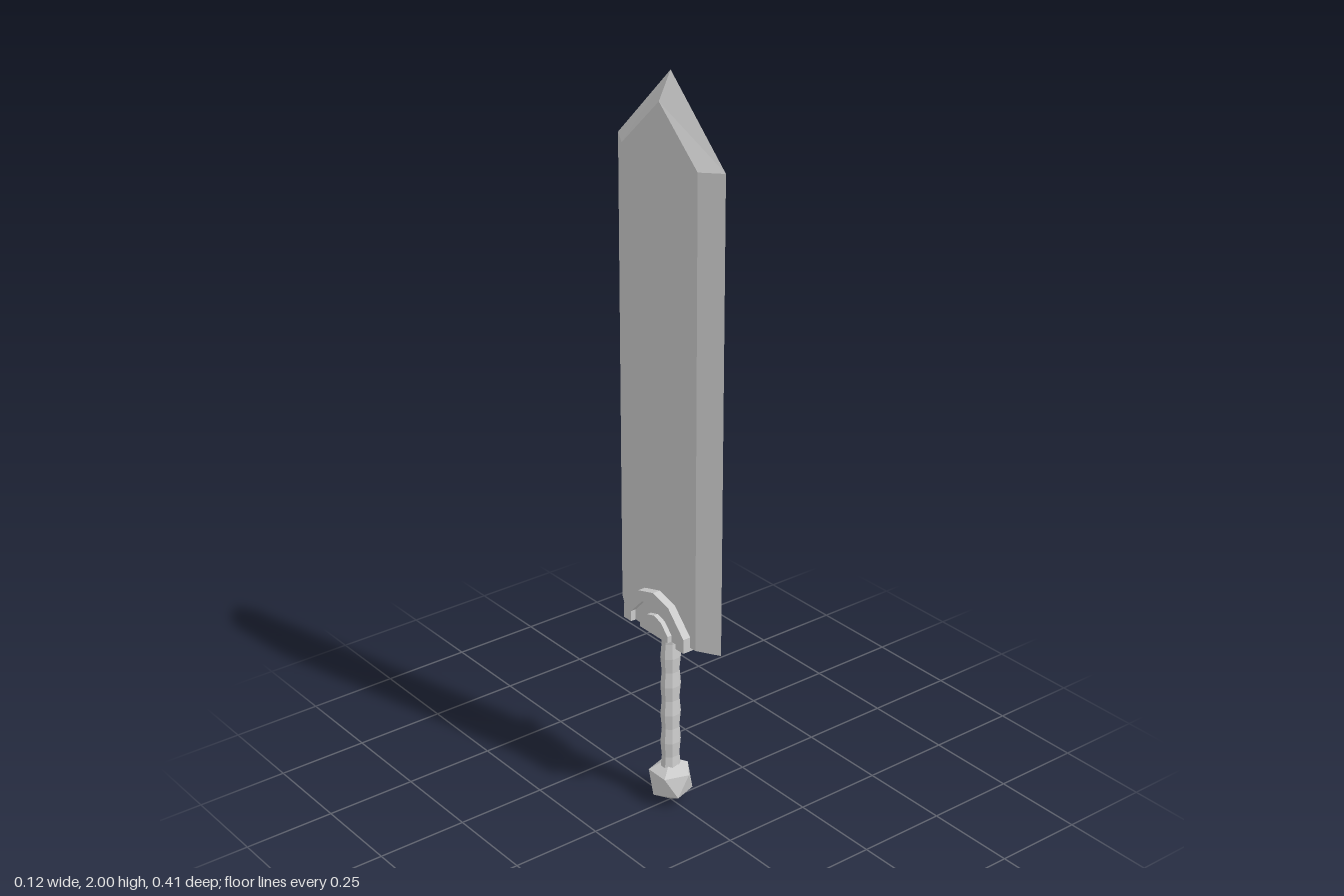
import * as THREE from 'three';

const material = new THREE.MeshStandardMaterial({ color: 0xcccccc, flatShading: true });

function addMesh(parent, name, geometry) {
  const mesh = new THREE.Mesh(geometry, material);
  mesh.name = name;
  parent.add(mesh);
  return mesh;
}

// Broad blade: a sharp outline at x = 0 bevelled up to two flat faces
function bladeGeometry() {
  const positions = [];
  const addFan = (points, flip) => {
    const p = flip ? [...points].reverse() : points;
    for (let i = 1; i < p.length - 1; i++) positions.push(...p[0], ...p[i], ...p[i + 1]);
  };
  const outline = (x, z, shoulder, tip) => [
    [x, 0.53, z], [x, shoulder, z], [x, tip, 0], [x, shoulder, -z], [x, 0.53, -z],
  ];
  const edge = outline(0, 0.205, 1.8, 2);
  const faces = [1, -1].map((side) => outline(side * 0.035, 0.145, 1.795, 1.93));
  faces.forEach((face, k) => {
    const flip = k === 0;
    addFan(face, flip);
    for (let i = 0; i < 4; i++) addFan([edge[i], edge[i + 1], face[i + 1], face[i]], flip);
  });
  // Underside
  addFan([edge[0], faces[0][0], faces[0][4], edge[4], faces[1][4], faces[1][0]], true);
  const geometry = new THREE.BufferGeometry();
  geometry.setAttribute('position', new THREE.Float32BufferAttribute(positions, 3));
  geometry.computeVertexNormals();
  return geometry;
}

// Faceted half-round outline, scaled from the outside of the guard
function archPoints(scale) {
  return [[0.124, 0], [0.124, 0.04], [0.0625, 0.104], [0, 0.122],
    [-0.0625, 0.104], [-0.124, 0.04], [-0.124, 0]]
    .map(([x, y]) => new THREE.Vector2(x * scale, y * scale));
}

// Half-round plate running through the blade, optionally hollowed to an arch
function addArch(parent, name, outer, inner, halfWidth) {
  const points = archPoints(outer);
  if (inner) points.push(...archPoints(inner).reverse());
  const geometry = new THREE.ExtrudeGeometry(new THREE.Shape(points), {
    depth: halfWidth * 2, bevelEnabled: false,
  });
  geometry.translate(0, 0, -halfWidth).rotateY(Math.PI / 2);
  addMesh(parent, name, geometry).position.y = 0.52;
}

export function createModel() {
  const model = new THREE.Group();
  model.name = 'sword';

  addMesh(model, 'blade', bladeGeometry());

  // Guard: raised outer arch, recessed band and raised centre
  const guard = new THREE.Group();
  guard.name = 'guard';
  model.add(guard);
  addArch(guard, 'guardArch', 1, 0.75, 0.057);
  addArch(guard, 'guardRecess', 0.76, 0, 0.042);
  addArch(guard, 'guardCentre', 0.46, 0, 0.055);

  // Grip with alternating swells and pinches
  const profile = [new THREE.Vector2(0, 0.1)];
  const rings = 10;
  for (let i = 0; i <= rings; i++) {
    profile.push(new THREE.Vector2(i % 2 ? 0.025 : 0.029, 0.1 + (i / rings) * 0.425));
  }
  profile.push(new THREE.Vector2(0, 0.525));
  addMesh(model, 'grip', new THREE.LatheGeometry(profile, 8, Math.PI / 8)).scale.z = 0.86;

  // Pommel: icosahedron turned to stand on one corner
  const pommel = new THREE.IcosahedronGeometry(0.065, 0);
  const corner = new THREE.Vector3().fromBufferAttribute(pommel.attributes.position, 0).normalize();
  pommel.applyQuaternion(new THREE.Quaternion().setFromUnitVectors(corner, new THREE.Vector3(0, 1, 0)));
  // Spin it so an upper corner points along +x
  const p = pommel.attributes.position;
  for (let i = 0; i < p.count; i++) {
    if (p.getY(i) > 0.01 && p.getY(i) < 0.05) {
      pommel.rotateY(Math.atan2(p.getZ(i), p.getX(i)));
      break;
    }
  }
  addMesh(model, 'pommel', pommel).position.y = 0.065;

  return model;
}
